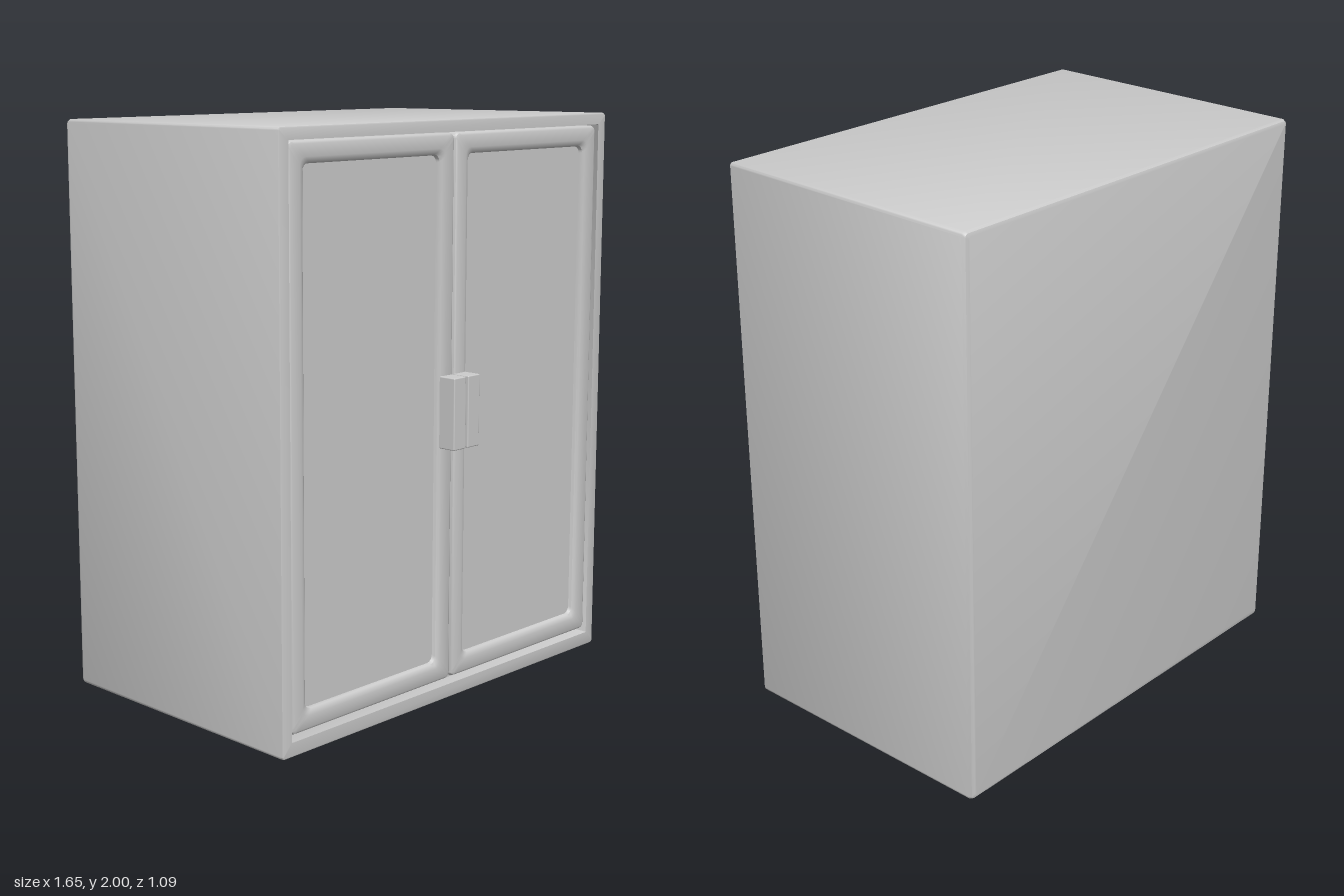
import * as THREE from 'three';
import { toCreasedNormals } from 'three/addons/utils/BufferGeometryUtils.js';
import { RoundedBoxGeometry } from 'three/addons/geometries/RoundedBoxGeometry.js';

const material = new THREE.MeshStandardMaterial({ color: 0xcccccc });
const CORNER_STEPS = 4;

// Rounded rectangle, anticlockwise seen from the front
function ring({ x0, x1, y0, y1, r, z }) {
  const corners = [[x1 - r, y0 + r, -0.5], [x1 - r, y1 - r, 0], [x0 + r, y1 - r, 0.5], [x0 + r, y0 + r, 1]];
  const points = [];
  for (const [cx, cy, start] of corners) {
    for (let i = 0; i <= CORNER_STEPS; i++) {
      const a = Math.PI * (start + 0.5 * i / CORNER_STEPS);
      points.push([cx + r * Math.cos(a), cy + r * Math.sin(a), z]);
    }
  }
  return points;
}

// Skin over a series of rings, from the back to the front, capped at both ends
function loft(sections) {
  const positions = [], index = [];
  const rings = sections.map(ring);
  const n = rings[0].length;
  rings.forEach(points => points.forEach(p => positions.push(...p)));
  for (let k = 0; k < rings.length - 1; k++) {
    for (let i = 0; i < n; i++) {
      const j = (i + 1) % n;
      const a = k * n + i, b = k * n + j, c = a + n, d = b + n;
      index.push(a, b, d, a, d, c);
    }
  }
  const last = (rings.length - 1) * n;
  for (let i = 1; i < n - 1; i++) {
    index.push(0, i + 1, i);
    index.push(last, last + i, last + i + 1);
  }
  const geometry = new THREE.BufferGeometry();
  geometry.setAttribute('position', new THREE.Float32BufferAttribute(positions, 3));
  geometry.setIndex(index);
  return toCreasedNormals(geometry, Math.PI / 5);
}

// Shrinks a base rectangle by an inset at a given depth
const section = (base, inset, z, r) => ({
  x0: base.x0 + inset, x1: base.x1 - inset, y0: base.y0 + inset, y1: base.y1 - inset, r, z,
});

function addMesh(parent, name, geometry) {
  const mesh = new THREE.Mesh(geometry, material);
  mesh.name = name;
  parent.add(mesh);
  return mesh;
}

export function createModel() {
  const cabinet = new THREE.Group();
  cabinet.name = 'cabinet';

  // Carcass: softened, slightly narrower back, plain front rim and a shallow door recess
  const back = { x0: -0.818, x1: 0.818, y0: 0.008, y1: 1.995 };
  const front = { x0: -0.825, x1: 0.825, y0: 0, y1: 2 };
  const opening = { x0: -0.782, x1: 0.782, y0: 0.05, y1: 1.96 };
  addMesh(cabinet, 'carcass', loft([
    section(back, 0.016, -0.545, 0.008),
    section(back, 0.005, -0.541, 0.012),
    section(back, 0, -0.53, 0.014),
    section(front, 0, 0.482, 0.012),
    section(front, 0.002, 0.488, 0.01),
    section(front, 0.006, 0.49, 0.006),
    section(opening, 0, 0.49, 0.004),
    section(opening, 0, 0.44, 0.004),
  ]));

  // Paired doors with a raised, soft-edged frame and a sunken panel
  for (const side of [1, -1]) {
    const door = new THREE.Group();
    door.name = side > 0 ? 'leftDoor' : 'rightDoor';
    cabinet.add(door);

    const inner = side * 0.003, outer = side * 0.777;
    const leaf = { x0: Math.min(inner, outer), x1: Math.max(inner, outer), y0: 0.068, y1: 1.955 };
    addMesh(door, 'doorLeaf', loft([
      section(leaf, 0, 0.441, 0.018),
      section(leaf, 0, 0.472, 0.018),
      section(leaf, 0.003, 0.479, 0.018),
      section(leaf, 0.01, 0.483, 0.018),
      section(leaf, 0.05, 0.483, 0.025),
      section(leaf, 0.062, 0.48, 0.025),
      section(leaf, 0.069, 0.474, 0.025),
      section(leaf, 0.072, 0.462, 0.025),
    ]));

    // Block handle beside the meeting edge
    const handle = addMesh(door, 'handle', new RoundedBoxGeometry(0.06, 0.248, 0.07, 2, 0.004));
    handle.position.set(side * 0.036, 1.021, 0.51);
  }
  return cabinet;
}
